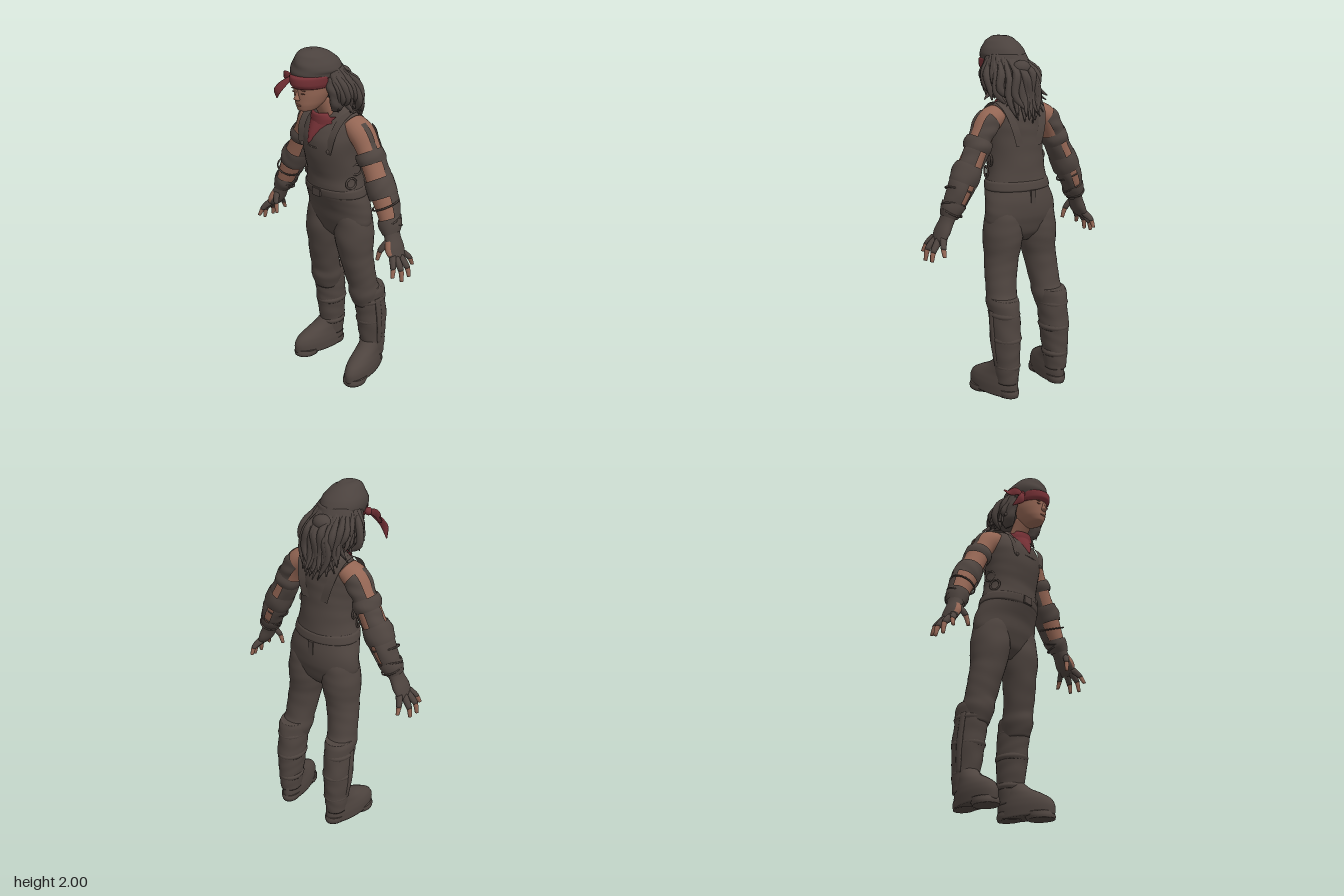
import * as THREE from 'three';
import { ParametricGeometry } from 'three/addons/geometries/ParametricGeometry.js';

const PI = Math.PI;
const flat = (name, color, side = THREE.FrontSide) => {
  const m = new THREE.MeshStandardMaterial({ color, side });
  m.name = name;
  return m;
};

// Skin through elliptical sections [x, y, z, radius across, radius in z], smoothed between them
function loft(keys, { sides = 24, n = 5, arc = [0, 2 * PI], range = [0, 1], grow = 0, rough = 0, cap = true } = {}) {
  const path = new THREE.CatmullRomCurve3(keys.map(k => new THREE.Vector3(k[0], k[1], k[2])));
  const size = new THREE.CatmullRomCurve3(keys.map(k => new THREE.Vector3(k[3], k[4], 0)));
  const rings = Math.max(4, Math.round((keys.length - 1) * n * (range[1] - range[0])));
  const full = arc[1] - arc[0] > 6.28, cols = full ? sides : sides + 1;
  const pos = [], index = [];
  for (let i = 0; i <= rings; i++) {
    const v = i / rings, t = range[0] + (range[1] - range[0]) * v;
    const c = path.getPoint(t), d = path.getTangent(t), r = size.getPoint(t);
    const len = Math.hypot(d.x, d.y) || 1, ux = -d.y / len, uy = d.x / len;
    const g = grow * (0.6 + 0.4 * Math.sin(PI * v));
    for (let j = 0; j < cols; j++) {
      const a = arc[0] + (arc[1] - arc[0]) * j / sides;
      const k = 1 + rough * (Math.sin(c.y * 65 + 3.5 * Math.sin(a + c.y * 9)) + 0.6 * Math.sin(5 * a + c.y * 32));
      const p = Math.cos(a) * (r.x + g) * k, q = Math.sin(a) * (r.y + g) * k;
      pos.push(c.x + ux * p, c.y + uy * p, c.z + q);
    }
  }
  for (let i = 0; i < rings; i++) for (let j = 0; j < sides; j++) {
    const a = i * cols + j, b = i * cols + (j + 1) % cols;
    index.push(a, b, a + cols, b, b + cols, a + cols);
  }
  if (cap && full) for (const end of [0, 1]) {
    const c = path.getPoint(range[end]), m = pos.length / 3, o = end * rings * cols;
    pos.push(c.x, c.y, c.z);
    for (let j = 0; j < sides; j++) {
      const a = o + j, b = o + (j + 1) % sides;
      index.push(m, end ? a : b, end ? b : a);
    }
  }
  const geo = new THREE.BufferGeometry();
  geo.setAttribute('position', new THREE.Float32BufferAttribute(pos, 3));
  geo.setIndex(index);
  geo.computeVertexNormals();
  return geo;
}

const blob = (x, y, z, rx, ry, rz) => new THREE.SphereGeometry(1, 16, 12).scale(rx, ry, rz).translate(x, y, z);
const box = (x, y, z, w, h, d) => new THREE.BoxGeometry(w, h, d).translate(x, y, z);

// Flat band of constant width in x along a path
function ribbon(points, half) {
  const path = new THREE.CatmullRomCurve3(points.map(p => new THREE.Vector3(...p)));
  return new ParametricGeometry((u, v, out) => {
    path.getPoint(v, out);
    out.x += (u - 0.5) * 2 * half;
  }, 2, 24);
}

function flipped(geo) {
  const g = geo.clone().scale(-1, 1, 1), ix = g.index;
  for (let i = 0; i < ix.count; i += 3) {
    const b = ix.getX(i + 1);
    ix.setX(i + 1, ix.getX(i + 2));
    ix.setX(i + 2, b);
  }
  return g;
}

export function createModel() {
  const model = new THREE.Group();
  model.name = 'figure';
  const cloth = flat('dark cloth', 0x4e443f, THREE.DoubleSide);
  const hair = flat('dark hair', 0x4b423e);
  const skin = flat('skin', 0x946654);
  const lip = flat('lips', 0x7a5043);
  const red = flat('red scarf', 0x763136, THREE.DoubleSide);

  const add = (name, geo, mat) => {
    const m = new THREE.Mesh(geo, mat);
    m.name = name;
    model.add(m);
  };
  const pair = (name, geo, mat) => {
    add('left ' + name, geo, mat);
    add('right ' + name, flipped(geo), mat);
  };

  // Torso and seat
  add('torso', loft([
    [0, 0.885, -0.07, 0.05, 0.05], [0, 0.935, -0.067, 0.17, 0.092], [0, 1.02, -0.064, 0.224, 0.119],
    [0, 1.1, -0.058, 0.216, 0.13], [0, 1.2, -0.03, 0.189, 0.142], [0, 1.3, -0.022, 0.169, 0.138],
    [0, 1.4, -0.005, 0.169, 0.147], [0, 1.5, 0, 0.177, 0.147], [0, 1.57, -0.012, 0.172, 0.13],
    [0, 1.63, -0.025, 0.145, 0.092], [0, 1.67, -0.02, 0.09, 0.06], [0, 1.685, -0.015, 0.03, 0.03]
  ], { sides: 36, rough: 0.006 }), cloth);
  add('belt', loft([[0, 1.175, -0.036, 0.193, 0.139], [0, 1.185, -0.034, 0.198, 0.146],
    [0, 1.22, -0.028, 0.191, 0.146], [0, 1.23, -0.027, 0.182, 0.138]], { sides: 36 }), cloth);
  add('buckle', box(0, 1.2, 0.117, 0.06, 0.045, 0.012), cloth);
  add('bib edge', new THREE.TubeGeometry(new THREE.CatmullRomCurve3([
    new THREE.Vector3(-0.1, 1.475, 0.12), new THREE.Vector3(0, 1.47, 0.146),
    new THREE.Vector3(0.1, 1.475, 0.12)]), 16, 0.005, 6), cloth);

  // Braces and side loops
  pair('brace', ribbon([[0.1, 1.45, 0.13], [0.12, 1.55, 0.112], [0.125, 1.62, 0.06], [0.125, 1.655, -0.02],
    [0.115, 1.615, -0.1], [0.09, 1.52, -0.14], [0.06, 1.42, -0.147]], 0.024), cloth);
  pair('brace button', blob(0.1, 1.46, 0.128, 0.012, 0.012, 0.008), cloth);
  for (const [y, z] of [[1.27, 0.02], [1.34, -0.02]])
    pair('side loop', new THREE.TorusGeometry(0.03, 0.006, 6, 16).rotateY(PI / 2 - 0.3).translate(0.17, y, z), cloth);
  add('back loop', box(0, 1.14, -0.183, 0.03, 0.08, 0.012), cloth);

  // Trousers, their tops sinking smoothly into the seat
  pair('trouser leg', loft([
    [0.1, 1.12, -0.058, 0.08, 0.085], [0.112, 1.02, -0.063, 0.104, 0.108], [0.118, 0.92, -0.062, 0.112, 0.115],
    [0.131, 0.8, -0.066, 0.097, 0.099], [0.145, 0.7, -0.08, 0.092, 0.09], [0.155, 0.61, -0.098, 0.087, 0.086],
    [0.16, 0.55, -0.112, 0.087, 0.098], [0.165, 0.47, -0.125, 0.07, 0.08]
  ], { sides: 28, n: 7, rough: 0.01 }), cloth);

  // Boots
  pair('boot shaft', loft([
    [0.167, 0.585, -0.132, 0.075, 0.1], [0.168, 0.55, -0.138, 0.081, 0.105], [0.17, 0.45, -0.152, 0.08, 0.1],
    [0.173, 0.36, -0.162, 0.08, 0.098], [0.174, 0.27, -0.168, 0.073, 0.09],
    [0.174, 0.18, -0.175, 0.066, 0.08], [0.174, 0.1, -0.175, 0.06, 0.075]
  ], { sides: 28, n: 7, rough: 0.016 }), cloth);
  for (const [y, z, rx, rz] of [[0.5, -0.146, 0.08, 0.102], [0.36, -0.162, 0.081, 0.099], [0.2, -0.174, 0.068, 0.082]]) {
    pair('boot strap', loft([[0.171, y - 0.018, z, rx - 0.004, rz - 0.004], [0.171, y, z, rx + 0.003, rz + 0.003],
      [0.171, y + 0.018, z, rx - 0.004, rz - 0.004]]), cloth);
  }
  pair('boot side flap', loft([[0.245, 0.52, -0.13, 0.01, 0.02], [0.25, 0.4, -0.145, 0.01, 0.022],
    [0.247, 0.3, -0.155, 0.01, 0.02], [0.236, 0.2, -0.165, 0.008, 0.016]], { sides: 10, rough: 0.06 }), cloth);
  const shoe = keys => loft(keys, { sides: 32 }).rotateY(0.2).translate(0.174, 0, -0.175);
  pair('shoe', shoe([
    [0, 0.02, 0.1, 0.069, 0.174], [0, 0.07, 0.1, 0.071, 0.176], [0, 0.11, 0.09, 0.068, 0.165],
    [0, 0.145, 0.065, 0.062, 0.135], [0, 0.18, 0.03, 0.059, 0.1], [0, 0.23, 0, 0.055, 0.07]]), cloth);
  pair('sole', shoe([[0, 0, 0.195, 0.064, 0.078], [0, 0.02, 0.188, 0.068, 0.086], [0, 0.04, 0.18, 0.067, 0.086]]), cloth);
  pair('heel', shoe([[0, 0.015, -0.005, 0.05, 0.07], [0, 0.04, -0.004, 0.056, 0.076], [0, 0.06, 0, 0.056, 0.074]]), cloth);

  // Arms with torn sleeve pieces, open toward the front and in patches behind
  const arm = [[0.125, 1.59, -0.03, 0.058, 0.07], [0.188, 1.553, -0.03, 0.067, 0.077], [0.238, 1.48, -0.034, 0.061, 0.07],
    [0.287, 1.38, -0.036, 0.062, 0.068], [0.35, 1.26, -0.035, 0.066, 0.07], [0.402, 1.15, -0.03, 0.056, 0.062],
    [0.44, 1.06, -0.015, 0.036, 0.045]];
  pair('arm', loft(arm, { n: 7 }), skin);
  for (const [t0, t1, grow, a0, a1] of [
    [0.14, 0.38, 0.007, 0, 0.13], [0.14, 0.38, 0.008, 1.35, 1.78], [0.36, 0.46, 0.015, 0, 2],
    [0.43, 0.59, 0.009, 0.8, 1.4], [0.43, 0.59, 0.009, 1.58, 2.02], [0.57, 0.7, 0.015, 0, 2],
    [0.67, 0.87, 0.009, 0.95, 1.35], [0.67, 0.87, 0.009, 1.52, 2.1], [0.86, 1, 0.015, 0, 2]]) {
    pair('sleeve piece', loft(arm, { range: [t0, t1], grow, arc: [a0 * PI, a1 * PI], n: 24, rough: 0.025, cap: false }), cloth);
  }
  for (const [x, y, r, tilt] of [[0.415, 1.12, 0.064, 0.3], [0.425, 1.09, 0.058, -0.25], [0.38, 1.2, 0.074, 0.15]]) {
    pair('wrist cord', new THREE.TorusGeometry(r, 0.005, 6, 24).rotateX(PI / 2 + tilt).rotateZ(0.42).translate(x, y, -0.027), cloth);
  }

  // Gloves, bare patches and fingers
  const glove = [[0.43, 1.09, -0.02, 0.042, 0.05], [0.45, 1.04, -0.012, 0.036, 0.05],
    [0.475, 0.985, -0.005, 0.034, 0.062], [0.5, 0.94, -0.004, 0.022, 0.055], [0.508, 0.925, -0.004, 0.01, 0.04]];
  pair('glove', loft(glove), cloth);
  pair('glove opening', loft(glove, { range: [0.3, 0.62], grow: 0.003, arc: [0.3 * PI, 0.62 * PI], n: 12 }), skin);
  const fingers = [
    [[0.495, 0.955, 0.035], [0.53, 0.91, 0.065], [0.545, 0.865, 0.085]],
    [[0.5, 0.945, 0.015], [0.548, 0.895, 0.025], [0.562, 0.83, 0.03]],
    [[0.5, 0.945, -0.015], [0.545, 0.89, -0.028], [0.558, 0.835, -0.032]],
    [[0.49, 0.955, -0.045], [0.515, 0.915, -0.08], [0.52, 0.87, -0.1]],
    [[0.455, 1.03, 0.02], [0.425, 0.975, 0.05], [0.41, 0.915, 0.06]]];
  for (const f of fingers) {
    const keys = f.map((p, i) => [...p, 0.02 - 0.005 * i, 0.02 - 0.005 * i]);
    pair('glove finger', loft(keys, { sides: 10, range: [0, 0.55], grow: 0.002 }), cloth);
    pair('fingertip', loft(keys, { sides: 10, range: [0.48, 1] }), skin);
  }

  // Neck, head and face
  add('neck', loft([[0, 1.6, 0, 0.06, 0.06], [0, 1.67, 0.05, 0.052, 0.055], [0, 1.74, 0.09, 0.055, 0.06]]), skin);
  add('head', loft([
    [0, 1.682, 0.185, 0.02, 0.025], [0, 1.69, 0.175, 0.042, 0.058], [0, 1.725, 0.155, 0.065, 0.089],
    [0, 1.78, 0.14, 0.082, 0.108], [0, 1.84, 0.13, 0.088, 0.12], [0, 1.9, 0.12, 0.08, 0.11]], { sides: 32 }), skin);
  add('nose', loft([[0, 1.745, 0.243, 0.01, 0.006], [0, 1.756, 0.247, 0.017, 0.02],
    [0, 1.775, 0.243, 0.011, 0.015], [0, 1.805, 0.24, 0.008, 0.01]], { sides: 14 }), skin);
  add('mouth', blob(0, 1.722, 0.238, 0.02, 0.007, 0.01), lip);
  pair('eye', blob(0.033, 1.787, 0.239, 0.016, 0.004, 0.005), lip);
  pair('brow', blob(0.035, 1.805, 0.24, 0.02, 0.003, 0.005), lip);

  // Headband with knot and two tails
  add('headband', loft([[0, 1.81, 0.13, 0.089, 0.125], [0, 1.83, 0.13, 0.098, 0.141],
    [0, 1.865, 0.125, 0.104, 0.145], [0, 1.88, 0.12, 0.098, 0.13]], { sides: 32 }), red);
  add('headband knot', blob(-0.112, 1.84, 0.175, 0.02, 0.022, 0.022), red);
  add('upper headband tail', loft([[-0.11, 1.84, 0.18, 0.012, 0.01], [-0.16, 1.835, 0.18, 0.024, 0.006],
    [-0.2, 1.82, 0.155, 0.018, 0.005], [-0.222, 1.835, 0.135, 0.004, 0.004]], { sides: 10 }), red);
  add('lower headband tail', loft([[-0.11, 1.835, 0.185, 0.01, 0.01], [-0.15, 1.79, 0.22, 0.022, 0.006],
    [-0.18, 1.75, 0.232, 0.024, 0.006], [-0.215, 1.705, 0.2, 0.004, 0.004]], { sides: 10 }), red);

  // Neckerchief: a rolled front edge and a hanging point
  add('neckerchief roll', loft([[0, 1.598, -0.16, 0.09, 0.09], [0, 1.623, -0.155, 0.088, 0.082],
    [0, 1.648, -0.147, 0.07, 0.068], [0, 1.653, -0.147, 0.058, 0.058]], { arc: [0.16 * PI, 0.84 * PI] }).rotateX(0.12), red);
  add('neckerchief front', new ParametricGeometry((u, v, out) => {
    const s = (u - 0.5) * 2, w = 1 - v;
    out.set(0.09 * s * w - 0.025 * v, 1.635 - 0.155 * v, 0.107 + 0.048 * Math.sin(v * PI / 2) - 0.05 * s * s * w);
  }, 12, 10), red);

  // Hair: crown, mass behind, temples, bun and loose locks
  add('crown', loft([
    [0, 1.85, 0.1, 0.108, 0.143], [-0.004, 1.885, 0.105, 0.116, 0.15], [-0.004, 1.93, 0.112, 0.106, 0.133],
    [-0.002, 1.975, 0.128, 0.072, 0.092], [0, 1.993, 0.135, 0.035, 0.045], [0, 1.997, 0.135, 0.01, 0.01]
  ], { sides: 32, rough: 0.016 }), hair);
  add('hair mass', loft([
    [0, 1.66, -0.06, 0.08, 0.06], [0, 1.72, -0.02, 0.12, 0.085], [0, 1.78, 0.02, 0.14, 0.1],
    [0, 1.84, 0.04, 0.13, 0.105], [0, 1.9, 0.06, 0.1, 0.1]], { sides: 32, rough: 0.03 }), hair);
  pair('temple hair', loft([[0.095, 1.675, 0.06, 0.015, 0.03], [0.11, 1.72, 0.065, 0.034, 0.048],
    [0.108, 1.79, 0.075, 0.034, 0.055], [0.095, 1.85, 0.085, 0.022, 0.045], [0.085, 1.88, 0.09, 0.012, 0.02]],
  { sides: 16, rough: 0.05 }), hair);
  add('bun', blob(0, 1.83, -0.075, 0.055, 0.042, 0.045), hair);
  let seed = 7;
  const rand = () => (seed = (seed * 16807) % 2147483647) / 2147483647;
  for (let i = 0; i < 46; i++) {
    const a = PI * (-0.12 + 1.24 * i / 45), c = Math.cos(a), s = Math.sin(a), b = Math.max(0, s);
    const w = 0.01 + 0.015 * rand(), out = 0.122 + 0.04 * rand(), drop = 1.655 - 0.13 * b * b + 0.07 * rand();
    const stray = 0.05 * (rand() - 0.5);
    add('hair lock', loft([
      [c * 0.08, 1.92, 0.09 - s * 0.085, w * 0.5, w * 0.5],
      [c * 0.112, 1.86, 0.065 - s * 0.112, w * 0.8, w * 0.8],
      [c * out, 1.77 + 0.04 * rand(), 0.04 - s * (out + 0.01), w, w],
      [c * (out - 0.01 * b) + stray, (1.78 + drop) / 2, 0.02 - s * (0.15 + 0.015 * rand()), w, w * 0.8],
      [c * (0.1 + 0.08 * rand()) - stray * 0.6, drop, 0.01 - s * (0.165 + 0.025 * rand()), 0.003, 0.003]
    ], { sides: 8, n: 4 }), hair);
  }
  return model;
}
